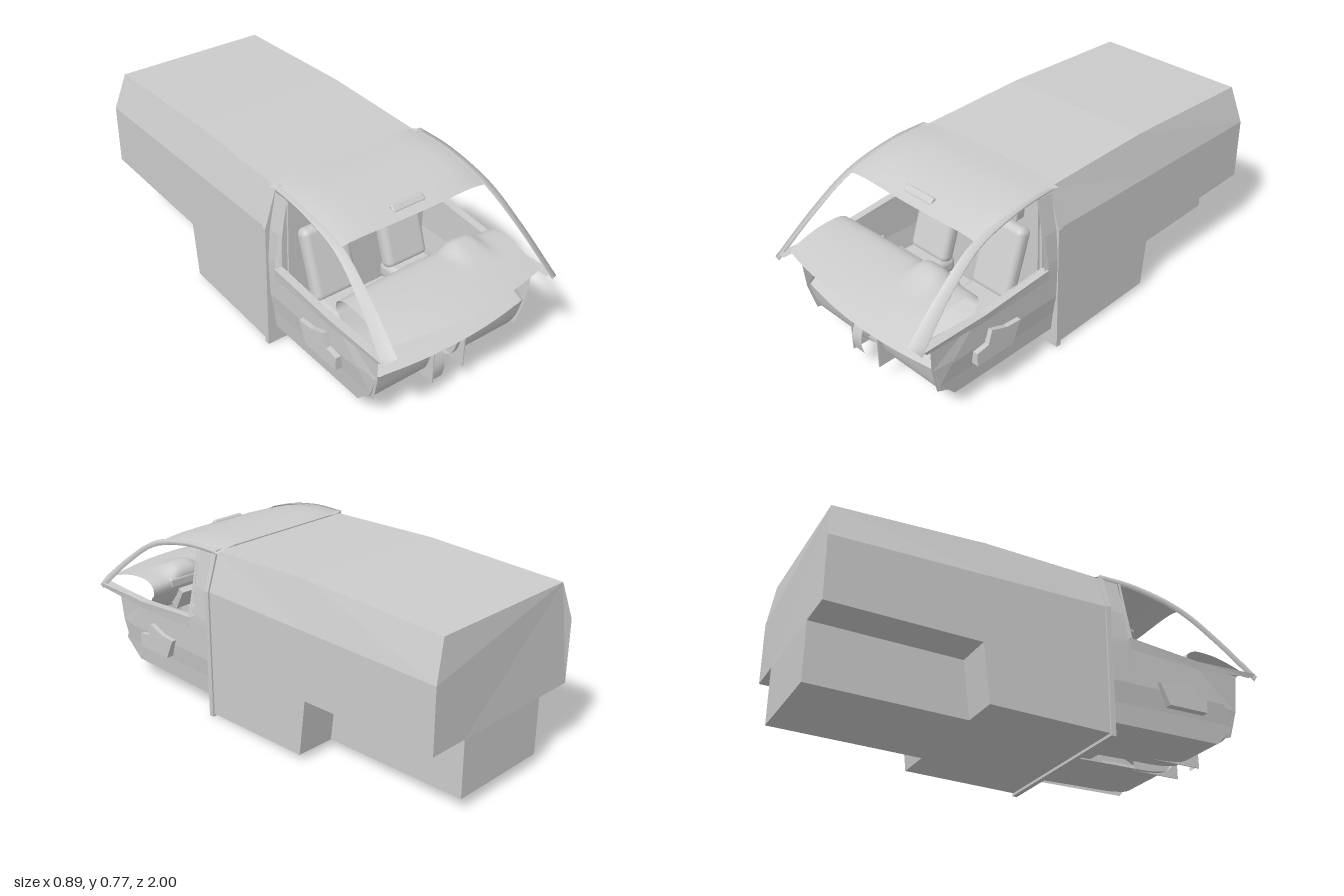
import * as THREE from 'three';
import { RoundedBoxGeometry } from 'three/addons/geometries/RoundedBoxGeometry.js';

const smooth = new THREE.MeshStandardMaterial({ color: 0xcccccc, side: THREE.DoubleSide });
const flat = new THREE.MeshStandardMaterial({ color: 0xcccccc, side: THREE.DoubleSide, flatShading: true });

function add(parent, name, geo, pos = [0, 0, 0], mat = smooth) {
  const m = new THREE.Mesh(geo, mat);
  m.name = name;
  m.position.set(...pos);
  parent.add(m);
  return m;
}

// Surface through rows of [x, y, z] points; optionally closed into a capped tube
function loft(rows, closed = false) {
  const n = rows[0].length, idx = [];
  for (let i = 0; i < rows.length - 1; i++)
    for (let j = 0; j < (closed ? n : n - 1); j++) {
      const k = (j + 1) % n, a = i * n + j, b = i * n + k, c = a + n, d = b + n;
      idx.push(a, b, c, b, d, c);
    }
  if (closed) {
    [0, rows.length - 1].forEach((r, end) => {
      const pts = rows[r].map(p => new THREE.Vector2(p[0], p[1]));
      for (const [a, b, c] of THREE.ShapeUtils.triangulateShape(pts, []))
        idx.push(r * n + a, r * n + (end ? c : b), r * n + (end ? b : c));
    });
  }
  const g = new THREE.BufferGeometry();
  g.setAttribute('position', new THREE.Float32BufferAttribute(rows.flat(2), 3));
  g.setIndex(idx);
  g.computeVertexNormals();
  return g;
}

// Smooth curve through [z, y] points
const curve = (pts, n = 20) =>
  new THREE.SplineCurve(pts.map(p => new THREE.Vector2(...p))).getPoints(n);

const span = (a, b, n) => Array.from({ length: n + 1 }, (_, i) => a + (b - a) * i / n);

// Cargo cross-section: floor, wheel notch, wall, shoulder and roof
function section({ z, bottom, notch = bottom, top, w = 0.415, zNotch = z, zTop = z }) {
  const half = [[0.235, bottom, z], [0.235, notch, zNotch], [w, notch, zNotch], [w, 0.585, z], [w - 0.055, top, zTop]];
  return [...half, ...half.map(([x, y, d]) => [-x, y, d]).reverse()];
}

function cargo() {
  const g = new THREE.Group();
  g.name = 'cargoCompartment';
  g.position.x = -0.004;
  add(g, 'cargoShell', loft([
    section({ z: 0.23, bottom: 0.012, top: 0.752 }),
    section({ z: -0.32, bottom: 0.03, top: 0.77 }),
    section({ z: -0.32, bottom: 0.03, notch: 0.285, zNotch: -0.35, top: 0.77 }),
    section({ z: -1, bottom: 0.05, notch: 0.305, top: 0.75, zTop: -0.98 }),
  ], true), undefined, flat);
  add(g, 'bulkheadFlange', loft([
    section({ z: 0.215, bottom: 0, top: 0.758, w: 0.423 }),
    section({ z: 0.238, bottom: 0, top: 0.758, w: 0.423 }),
  ], true), undefined, flat);
  add(g, 'bulkheadWindow', new RoundedBoxGeometry(0.3, 0.13, 0.01, 3, 0.004), [0, 0.635, 0.24]);
  for (const s of [-1, 1])
    add(g, 'bulkheadRib', new THREE.BoxGeometry(0.02, 0.62, 0.012), [s * 0.31, 0.39, 0.242]);
  return g;
}

function roof(g) {
  const prof = curve([[0.2, 0.768], [0.35, 0.77], [0.5, 0.748], [0.635, 0.702]]);
  add(g, 'cabRoof', loft(prof.map(p => span(-1, 1, 24).map(t =>
    [t * 0.375, p.y - 0.02 * t ** 6, p.x - 0.015 * t * t * (p.x - 0.2) / 0.43]))));
  const c = add(g, 'overheadConsole', new RoundedBoxGeometry(0.16, 0.035, 0.02, 3, 0.008), [0, 0.722, 0.58]);
  c.rotation.x = -0.8;
}

// One cab side, built on +x and mirrored for the other
function cabSide(s) {
  const g = new THREE.Group();
  g.name = s > 0 ? 'leftSide' : 'rightSide';
  g.scale.x = s;
  // inner wall: [y, x, forward limit in z]
  const wall = [[0.08, 0.385, 0.78], [0.17, 0.395, 0.86], [0.26, 0.41, 0.81], [0.42, 0.415, 0.66],
    [0.45, 0.415, 0.33], [0.58, 0.405, 0.32], [0.74, 0.375, 0.31]];
  add(g, 'sideWall', loft(wall.map(([y, x, z]) => [[x, y, 0.235], [x, y, z]])), undefined, flat);
  // curved windscreen pillar and roof rail
  const outer = [[0.38, 0.76, 0.22], [0.385, 0.752, 0.4], [0.392, 0.695, 0.63], [0.412, 0.58, 0.8], [0.445, 0.415, 0.98]];
  const inner = [[0.355, 0.76, 0.22], [0.36, 0.75, 0.4], [0.355, 0.695, 0.64], [0.372, 0.58, 0.825], [0.392, 0.44, 1.0]];
  const low = outer.map(([x, y, z]) => [x - 0.012, y - 0.02, z - 0.008]);
  const rail = [inner, outer, low].map(pts => new THREE.CatmullRomCurve3(
    pts.map(p => new THREE.Vector3(...p))).getPoints(24).map(v => v.toArray()));
  add(g, 'windscreenPillar', loft(rail));
  // belt rail and rear window strip
  add(g, 'beltRail', loft([
    [[0.4, 0.425, 0.97], [0.405, 0.42, 0.66], [0.41, 0.45, 0.32]],
    [[0.445, 0.425, 0.97], [0.44, 0.42, 0.66], [0.445, 0.45, 0.32]],
    [[0.44, 0.405, 0.95], [0.435, 0.385, 0.66], [0.44, 0.4, 0.32]],
  ]), undefined, flat);
  add(g, 'rearWindowStrip', loft([
    [[0.43, 0.32, 0.31], [0.43, 0.32, 0.335]],
    [[0.435, 0.45, 0.31], [0.435, 0.45, 0.335]],
    [[0.41, 0.6, 0.31], [0.41, 0.6, 0.325]],
    [[0.38, 0.74, 0.31], [0.38, 0.74, 0.322]],
  ]), undefined, flat);
  // door pocket, drawn in z-y and extruded sideways
  const pocket = new THREE.Shape([[0.62, 0.32], [0.54, 0.29], [0.465, 0.285], [0.51, 0.19], [0.7, 0.19], [0.7, 0.25], [0.64, 0.26]]
    .map(p => new THREE.Vector2(...p)));
  const geo = new THREE.ExtrudeGeometry(pocket, { depth: 0.035, bevelEnabled: false });
  geo.rotateY(-Math.PI / 2);
  add(g, 'doorPocket', geo, [0.432, 0, 0], flat);
  // kick panel beside the footwell
  add(g, 'kickPanel', loft([
    [[0.385, 0.09, 0.75], [0.375, 0.13, 0.86]],
    [[0.405, 0.26, 0.75], [0.385, 0.25, 0.89]],
    [[0.41, 0.42, 0.66], [0.395, 0.42, 0.9]],
  ]), undefined, flat);
  return g;
}

function dashboard(g) {
  // open-fronted shell with a raised instrument hood on the driver's side
  const prof = curve([[1, 0.465], [0.9, 0.49], [0.78, 0.508], [0.69, 0.508], [0.645, 0.475],
    [0.665, 0.41], [0.76, 0.31], [0.91, 0.25]], 32);
  add(g, 'dashboard', loft(span(-0.39, 0.385, 44).map(x => prof.map(p => {
    const e = (x / 0.39) ** 2;
    const hood = Math.exp(-(((x - 0.19) / 0.075) ** 4)) * Math.exp(-(((p.x - 0.69) / 0.09) ** 2));
    const up = p.y > 0.44 ? 1 : 0;
    return [x, p.y - 0.012 * e * up + 0.036 * hood * up, p.x - 0.055 * e * THREE.MathUtils.smoothstep(p.x, 0.75, 1)];
  }))));
  const column = add(g, 'steeringColumn', new THREE.CylinderGeometry(0.07, 0.055, 0.12, 4, 1), [0.187, 0.385, 0.7], flat);
  column.geometry.rotateY(Math.PI / 4);
  column.rotation.x = -0.5;
  add(g, 'radioPanel', new RoundedBoxGeometry(0.14, 0.055, 0.05, 3, 0.012), [-0.01, 0.45, 0.655]);
  add(g, 'instrumentPanel', new RoundedBoxGeometry(0.2, 0.05, 0.05, 3, 0.012), [0.19, 0.465, 0.665]);
  // gear housing: tapered open box with a lever
  const ring = (w, y0, y1, z) => [[-w, y0, z], [w, y0, z], [w * 0.9, y1, z - 0.02], [-w * 0.9, y1, z - 0.02], [-w, y0, z]];
  add(g, 'gearHousing', loft([ring(0.083, 0.25, 0.37, 0.82), ring(0.06, 0.28, 0.36, 0.68), ring(0.001, 0.315, 0.316, 0.68)]),
    [-0.016, 0, 0], flat);
  add(g, 'gearLever', new THREE.CylinderGeometry(0.024, 0.024, 0.045, 20), [-0.016, 0.257, 0.74]);
}

function footwells(g) {
  const prof = curve([[0.24, 0.08], [0.5, 0.083], [0.74, 0.088], [0.84, 0.125], [0.88, 0.25]], 24);
  for (const s of [-1, 1]) {
    add(g, s > 0 ? 'leftFootwell' : 'rightFootwell', loft(prof.map(p =>
      [0.04, 0.2, 0.36, 0.385].map((x, i) => [s * x, p.y + (i === 3 ? 0.012 : 0), p.x]))));
    const x = s > 0 ? 0.062 : -0.1;
    add(g, 'tunnelPlate', new THREE.BoxGeometry(0.005, 0.165, 0.24), [x, 0.165, 0.77]);
  }
  add(g, 'tunnelTrim', loft(curve([[0.76, 0.28], [0.85, 0.25], [0.89, 0.16], [0.88, 0.085]], 12)
    .map(p => [[-0.1, p.y, p.x], [-0.042, p.y, p.x]])));
}

function seat(x) {
  const g = new THREE.Group();
  g.name = 'seat';
  g.position.x = x;
  add(g, 'seatBack', new RoundedBoxGeometry(0.215, 0.32, 0.07, 4, 0.03), [0, 0.4, 0.33]).rotation.x = -0.33;
  add(g, 'seatCushion', new RoundedBoxGeometry(0.215, 0.08, 0.24, 4, 0.03), [0, 0.23, 0.45]);
  const head = new THREE.Shape();
  head.moveTo(-0.045, 0);
  head.lineTo(0.045, 0);
  head.bezierCurveTo(0.055, 0.05, 0.055, 0.098, 0.02, 0.098);
  head.lineTo(-0.02, 0.098);
  head.bezierCurveTo(-0.055, 0.098, -0.055, 0.05, -0.045, 0);
  add(g, 'headrest', new THREE.ExtrudeGeometry(head, {
    depth: 0.035, bevelSize: 0.006, bevelThickness: 0.006, bevelSegments: 3, curveSegments: 12,
  }), [0, 0.576, 0.25]);
  for (const s of [-1, 1])
    add(g, 'headrestPost', new THREE.CylinderGeometry(0.004, 0.004, 0.06, 10), [s * 0.027, 0.555, 0.268]);
  return g;
}

export function createModel() {
  const model = new THREE.Group();
  model.name = 'vanInterior';
  const cab = new THREE.Group();
  cab.name = 'cab';
  roof(cab);
  dashboard(cab);
  footwells(cab);
  cab.add(cabSide(1), cabSide(-1), seat(-0.189), seat(0.186));
  model.add(cargo(), cab);
  return model;
}
